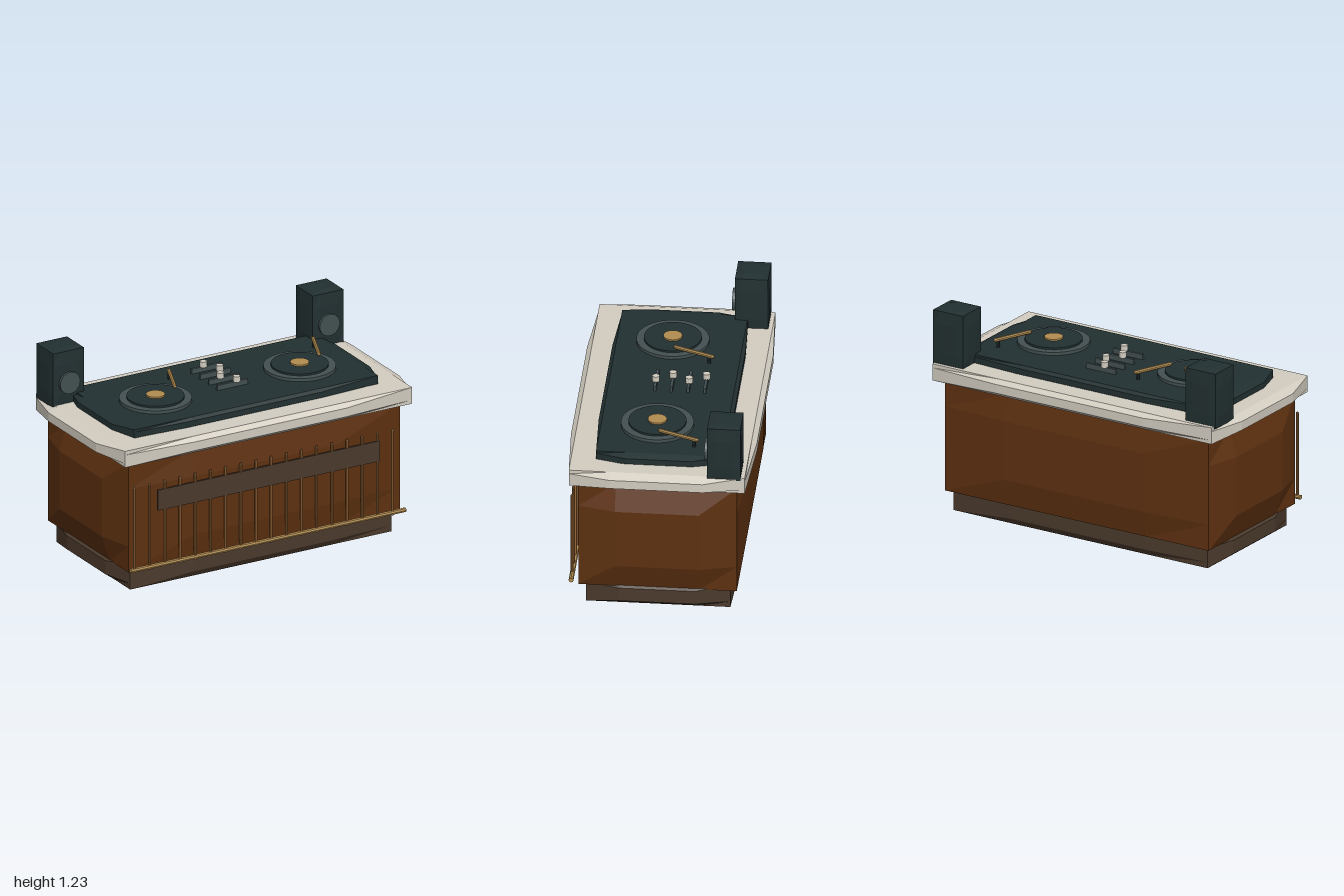
import * as THREE from 'three';

const mat = (name, color) => {
  const m = new THREE.MeshStandardMaterial({ color, flatShading: true });
  m.name = name;
  return m;
};

export function createModel() {
  const root = new THREE.Group();
  root.name = 'djBooth';
  const wood = mat('brown wood', 0x5e3110);
  const darkWood = mat('dark wood', 0x4b3a2c);
  const cream = mat('cream', 0xd3cdc1);
  const black = mat('dark teal', 0x223031);
  const grey = mat('slate grey', 0x435051);
  const gold = mat('gold', 0xb18c50);
  const copper = mat('copper', 0x996736);

  const add = (name, geo, material, x, y, z, parent = root) => {
    const mesh = new THREE.Mesh(geo, material);
    mesh.name = name;
    mesh.position.set(x, y, z);
    parent.add(mesh);
    return mesh;
  };

  // Box whose edges and corners are drawn inwards, giving slightly bulging sides
  const softBox = (w, h, d, pull = 0.945) => {
    const geo = new THREE.BoxGeometry(w, h, d, 4, 4, 4);
    const p = geo.attributes.position;
    const half = [w / 2, h / 2, d / 2];
    for (let i = 0; i < p.count; i++) {
      const v = [p.getX(i), p.getY(i), p.getZ(i)];
      const outer = v.map((c, k) => Math.abs(c) > half[k] * 0.99);
      if (outer.filter(Boolean).length < 2) continue;
      p.setXYZ(i, ...v.map((c, k) => (outer[k] ? c * pull : c)));
    }
    geo.computeVertexNormals();
    return geo;
  };
  const disc = (r, h, n = 24) => new THREE.CylinderGeometry(r, r, h, n);

  // Cabinet
  add('base', softBox(1.82, 0.165, 0.872), darkWood, 0, 0.0825, 0);
  add('cabinet', softBox(1.89, 0.71, 0.956), wood, 0, 0.465, 0);
  add('counter', softBox(2, 0.106, 1.062), cream, 0, 0.853, 0);
  add('deck', softBox(1.7, 0.068, 0.76), black, 0, 0.923, 0);

  // Front rods, rail and plaque
  const rods = new THREE.Group();
  rods.name = 'frontRods';
  root.add(rods);
  for (let i = 0; i < 18; i++) {
    add('rod', new THREE.CapsuleGeometry(0.009, 0.514, 2, 8), copper, -0.88 + i * 0.1, 0.406, 0.495, rods);
  }
  add('rail', disc(0.014, 1.81, 8), gold, 0, 0.157, 0.493).rotation.z = Math.PI / 2;
  add('plaque', new THREE.BoxGeometry(1.46, 0.125, 0.011), darkWood, 0, 0.558, 0.5);

  for (const side of [-1, 1]) {
    // Turntable
    const table = new THREE.Group();
    table.name = side < 0 ? 'rightTurntable' : 'leftTurntable';
    table.position.set(side * 0.475, 0, 0.04);
    root.add(table);
    add('platter', disc(0.208, 0.025, 32), grey, 0, 0.963, 0, table);
    add('record', disc(0.165, 0.02, 32), black, 0, 0.977, 0, table);
    add('label', disc(0.054, 0.012), gold, 0, 0.99, 0, table);

    // Tone arm and its post
    const from = new THREE.Vector3(0.14, 1.002, -0.02);
    const to = new THREE.Vector3(0.238, 1.002, -0.258);
    const dir = to.clone().sub(from);
    const arm = add('toneArm', new THREE.CapsuleGeometry(0.012, dir.length() - 0.02, 2, 8), gold,
      0.189, 1.002, -0.139, table);
    arm.quaternion.setFromUnitVectors(new THREE.Vector3(0, 1, 0), dir.normalize());
    add('armPost', disc(0.01, 0.05, 8), black, 0.227, 0.975, -0.23, table);

    // Speaker
    const speaker = new THREE.Group();
    speaker.name = side < 0 ? 'rightSpeaker' : 'leftSpeaker';
    speaker.position.set(side * 0.855, 0, -0.383);
    root.add(speaker);
    add('speakerCase', softBox(0.214, 0.352, 0.2), black, 0, 1.056, 0, speaker);
    add('speakerCone', disc(0.066, 0.03), grey, 0, 1.031, 0.1, speaker).rotation.x = Math.PI / 2;
  }

  // Mixer faders
  [[-0.022, -0.195], [0.03, -0.1], [-0.022, -0.004], [0.03, 0.09]].forEach(([x, z]) => {
    add('faderTrack', new THREE.BoxGeometry(0.2, 0.036, 0.016), grey, 0, 0.97, z);
    add('faderKnob', disc(0.021, 0.034, 12), cream, x, 1.002, z);
  });

  return root;
}
